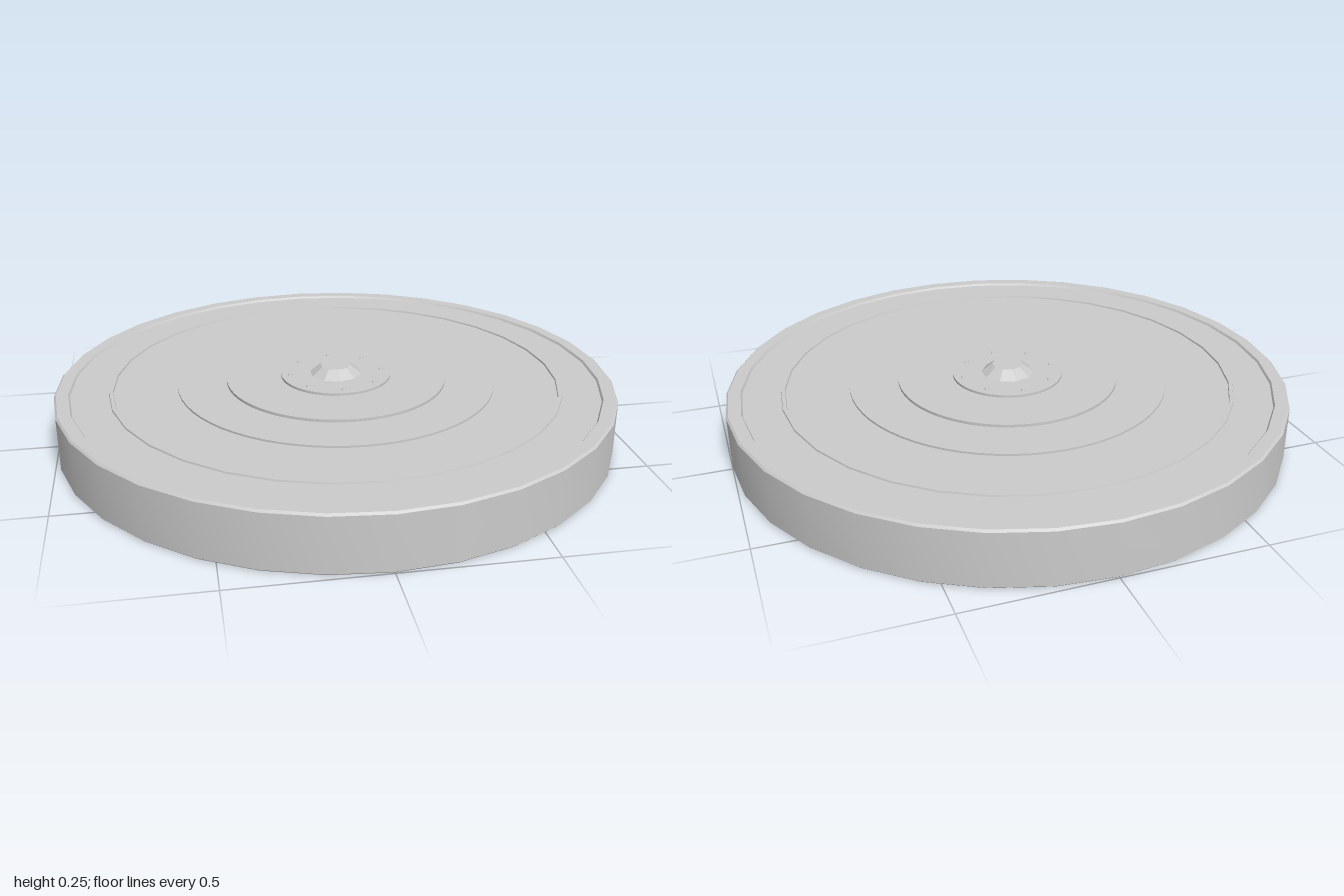
import * as THREE from 'three';
import { toCreasedNormals } from 'three/addons/utils/BufferGeometryUtils.js';

const material = new THREE.MeshStandardMaterial({ color: 0xcccccc });
const facetedMaterial = new THREE.MeshStandardMaterial({ color: 0xcccccc, flatShading: true });

export function createModel() {
  const model = new THREE.Group();

  const add = (name, geometry, y = 0, mat = material) => {
    const mesh = new THREE.Mesh(geometry, mat);
    mesh.name = name;
    mesh.position.y = y;
    model.add(mesh);
    return mesh;
  };
  // Flat disc spanning two heights
  const disc = (name, radius, y0, y1, sides) =>
    add(name, new THREE.CylinderGeometry(radius, radius, y1 - y0, sides), (y0 + y1) / 2);

  // Base drum: fine bevels, raised outer rim and a slightly sunken top
  const floorY = 0.192;
  const profile = [
    [0, 0], [0.995, 0], [1, 0.005], [1, 0.193], [0.993, 0.2],
    [0.95, 0.2], [0.945, floorY], [0, floorY],
  ].map(([r, y]) => new THREE.Vector2(r, y));
  add('base', toCreasedNormals(new THREE.LatheGeometry(profile, 32), 0.5));

  // Thin raised band on the sunken top
  const band = [
    [0.795, floorY - 0.002], [0.812, floorY - 0.002], [0.81, 0.198], [0.797, 0.198], [0.795, floorY - 0.002],
  ].map(([r, y]) => new THREE.Vector2(r, y));
  add('trimRing', toCreasedNormals(new THREE.LatheGeometry(band, 32), 0.5));

  // Stepped centre plates
  disc('lowerPlate', 0.57, 0.185, 0.199, 64);
  disc('middlePlate', 0.395, 0.19, 0.209, 64);
  disc('hubPlate', 0.198, 0.2, 0.218, 48);

  // Faceted hub cap
  add('hubCap', new THREE.CylinderGeometry(0.055, 0.096, 0.032, 10), 0.232, facetedMaterial);

  // Ring of small rivets around the cap
  for (let i = 0; i < 8; i++) {
    const angle = (i / 8) * Math.PI * 2;
    const rivet = add('rivet', new THREE.CylinderGeometry(0.006, 0.009, 0.008, 8), 0.22);
    rivet.position.x = Math.cos(angle) * 0.167;
    rivet.position.z = Math.sin(angle) * 0.167;
  }

  return model;
}
